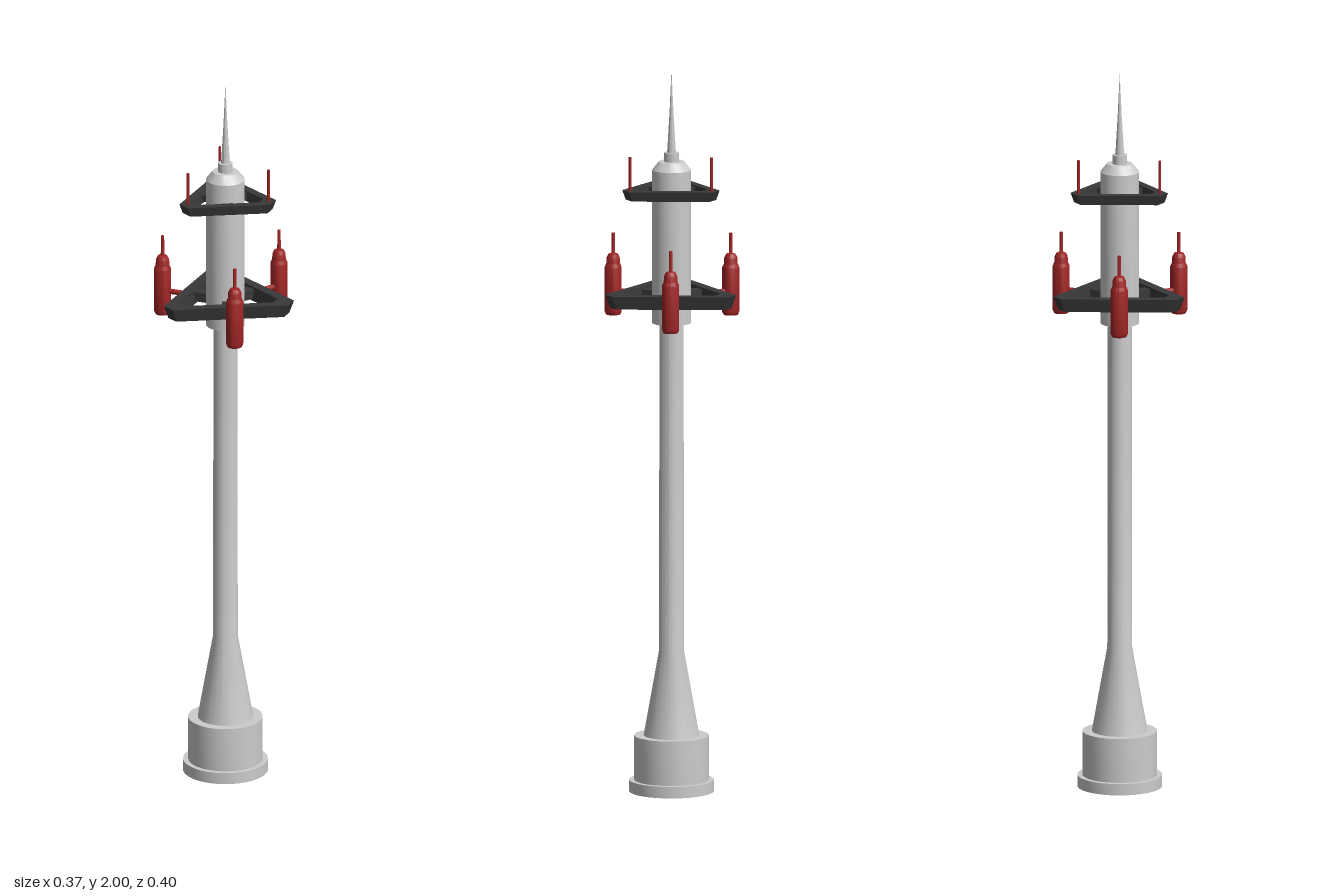
import * as THREE from 'three';
import { toCreasedNormals } from 'three/addons/utils/BufferGeometryUtils.js';

const grey = new THREE.MeshStandardMaterial({ color: 0xcccccc });
const dark = new THREE.MeshStandardMaterial({ color: 0x383838 });
const red = new THREE.MeshStandardMaterial({ color: 0xa32626 });

function add(parent, name, geometry, material) {
  const mesh = new THREE.Mesh(geometry, material);
  mesh.name = name;
  parent.add(mesh);
  return mesh;
}

// Turned part with crisp edges
function turned(profile, sides) {
  const points = profile.map(([r, y]) => new THREE.Vector2(r, y));
  return toCreasedNormals(new THREE.LatheGeometry(points, sides), 0.5);
}

// Triangle with cut corners: d = centre to side, t = centre to cut corner
function cutTriangle(d, t) {
  const w = (2 * d - t) * Math.tan(Math.PI / 6);
  const points = [];
  for (let i = 0; i < 3; i++) {
    const a = Math.PI / 2 + (i * Math.PI * 2) / 3;
    const c = Math.cos(a), s = Math.sin(a);
    for (const k of [-w, w]) points.push(new THREE.Vector2(c * t - s * k, s * t + c * k));
  }
  return points;
}

// Triangular platform, slightly narrower at the bottom, with three struts
function platform(name, y, height, outer, inner, strutWidth) {
  const group = new THREE.Group();
  group.name = name;
  group.position.y = y;
  const shape = new THREE.Shape(cutTriangle(...outer));
  shape.holes.push(new THREE.Path(cutTriangle(...inner)));
  const geometry = new THREE.ExtrudeGeometry(shape, { depth: height, bevelEnabled: false });
  geometry.rotateX(-Math.PI / 2);
  const pos = geometry.attributes.position;
  for (let i = 0; i < pos.count; i++) {
    if (pos.getY(i) < height / 2) {
      pos.setX(i, pos.getX(i) * 0.93);
      pos.setZ(i, pos.getZ(i) * 0.93);
    }
  }
  geometry.computeVertexNormals();
  add(group, 'frame', geometry, dark);
  const length = inner[0] - 0.035;
  for (let i = 0; i < 3; i++) {
    const box = new THREE.BoxGeometry(strutWidth, height * 0.7, length);
    box.translate(0, height / 2, 0.035 + length / 2);
    add(group, 'strut', box, dark).rotation.y = (i * Math.PI * 2) / 3;
  }
  return group;
}

export function createModel() {
  const model = new THREE.Group();
  model.name = 'tower';
  const tower = new THREE.Group();
  tower.name = 'towerParts';
  tower.position.set(-0.001, 0, -0.008);
  model.add(tower);

  // Base, tapered foot and shaft
  add(tower, 'base', turned([
    [0, 0], [0.116, 0], [0.116, 0.032], [0.102, 0.032], [0.102, 0.155], [0, 0.155],
  ], 32), grey);
  add(tower, 'shaft', turned([
    [0.076, 0.155], [0.034, 0.39], [0.033, 1.3],
  ], 24), grey);

  // Upper section, cap and spire
  add(tower, 'upperSection', turned([
    [0, 1.298], [0.053, 1.298], [0.053, 1.722], [0.035, 1.745], [0.02, 1.745],
    [0.02, 1.77], [0, 1.77],
  ], 24), grey);
  add(tower, 'spire', turned([[0.012, 1.77], [0.0055, 1.88], [0, 2]], 12), grey);

  // Triangular platforms
  tower.add(platform('lowerPlatform', 1.353, 0.037, [0.1145, 0.195], [0.087, 0.148], 0.032));
  tower.add(platform('upperPlatform', 1.648, 0.027, [0.088, 0.142], [0.065, 0.106], 0.03));

  // Thin rods on the corners of the upper platform
  for (let i = 0; i < 3; i++) {
    const a = Math.PI + (i * Math.PI * 2) / 3;
    const rod = add(tower, 'cornerRod', new THREE.CylinderGeometry(0.004, 0.004, 0.11, 8), red);
    rod.position.set(Math.sin(a) * 0.128, 1.713, Math.cos(a) * 0.128);
  }

  // Red canisters on arms around the lower platform
  const canister = turned([
    [0, 1.304], [0.02, 1.304], [0.0235, 1.312], [0.0235, 1.435], [0.019, 1.445],
    [0.018, 1.462], [0.013, 1.472], [0.005, 1.474], [0.0045, 1.53], [0, 1.53],
  ], 16);
  const arm = new THREE.CylinderGeometry(0.0075, 0.0075, 0.14, 10);
  arm.rotateX(Math.PI / 2);
  arm.translate(0, 1.37, 0.115);
  for (let i = 0; i < 3; i++) {
    const unit = new THREE.Group();
    unit.name = 'canisterUnit';
    unit.rotation.y = (i * Math.PI * 2) / 3;
    add(unit, 'arm', arm, red);
    add(unit, 'canister', canister, red).position.set(0.003, 0, 0.185);
    tower.add(unit);
  }
  return model;
}
